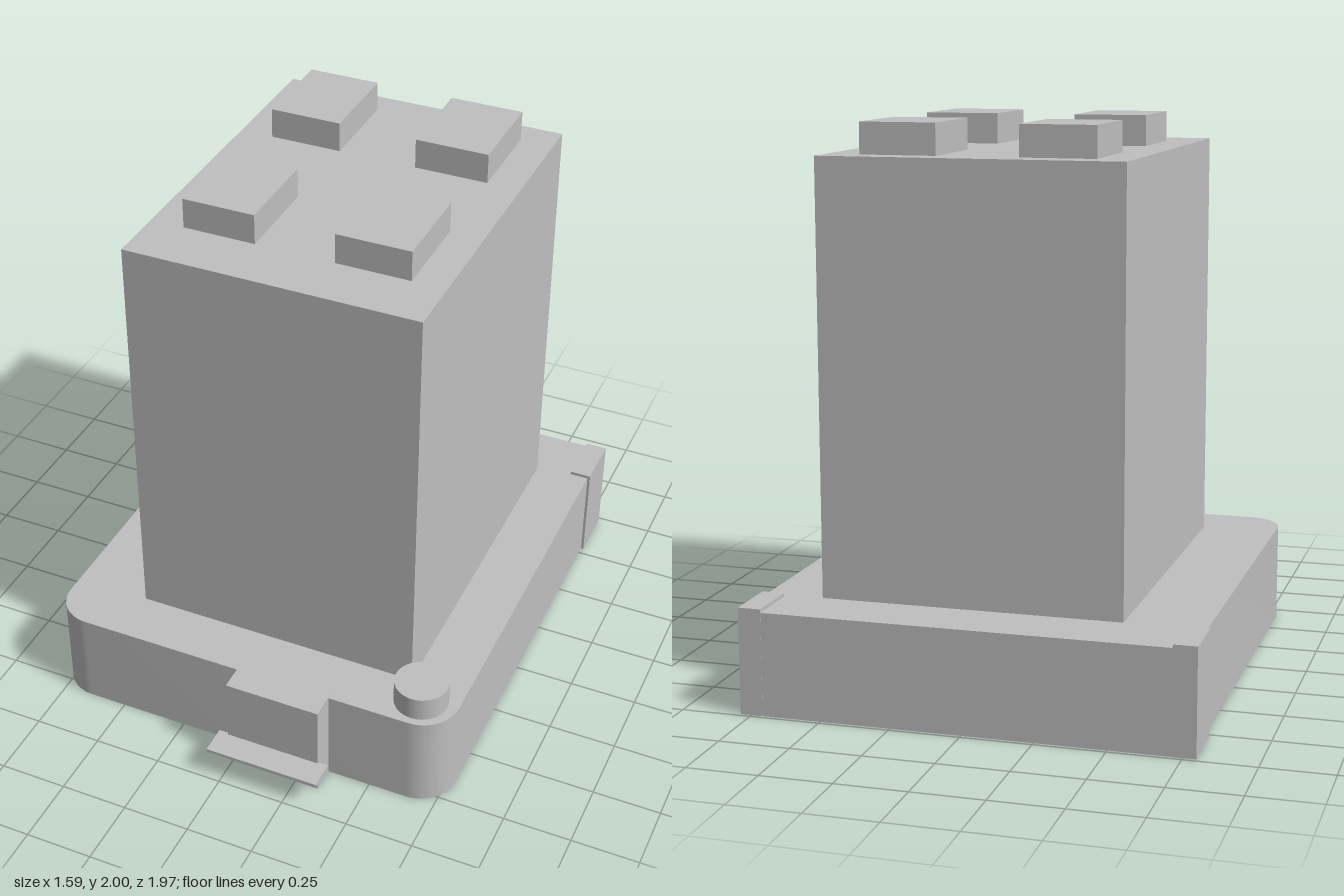
import * as THREE from 'three';
import { toCreasedNormals } from 'three/addons/utils/BufferGeometryUtils.js';

export function createModel() {
  const model = new THREE.Group();
  const grey = new THREE.MeshStandardMaterial({ color: 0xbfbfbf });
  grey.name = 'light grey';

  const add = (name, geometry) => {
    const mesh = new THREE.Mesh(geometry, grey);
    mesh.name = name;
    model.add(mesh);
    return mesh;
  };

  // Box given by its limits on each axis
  const box = (name, [x0, x1], [y0, y1], [z0, z1]) =>
    add(name, new THREE.BoxGeometry(x1 - x0, y1 - y0, z1 - z0))
      .position.set((x0 + x1) / 2, (y0 + y1) / 2, (z0 + z1) / 2);

  // Base slab: square back corners, rounded front corners (outline y is -z)
  const w = 0.78, back = 0.985, front = -0.793, r = 0.14;
  const outline = new THREE.Shape();
  outline.moveTo(w, back);
  outline.lineTo(-w, back);
  outline.lineTo(-w, front + r);
  outline.absarc(-w + r, front + r, r, Math.PI, Math.PI * 1.5, false);
  outline.lineTo(w - r, front);
  outline.absarc(w - r, front + r, r, Math.PI * 1.5, Math.PI * 2, false);
  outline.closePath();
  const slab = new THREE.ExtrudeGeometry(outline, { depth: 0.365, bevelEnabled: false, curveSegments: 12 });
  slab.rotateX(-Math.PI / 2);
  add('base', toCreasedNormals(slab, 0.5));

  // Tower block
  box('tower', [-0.498, 0.573], [0.36, 1.89], [-0.76, 0.587]);

  // Four studs on the roof
  for (const x of [[-0.375, -0.11], [0.18, 0.45]])
    for (const z of [[-0.66, -0.316], [0.038, 0.378]])
      box('roofStud', x, [1.885, 2], z);

  // Back corner posts
  box('rightCornerPost', [-0.796, -0.714], [0, 0.377], [-0.986, -0.78]);
  box('leftCornerPost', [0.709, 0.79], [0, 0.377], [-0.986, -0.78]);

  // Front door block with a thin canopy
  box('doorBlock', [-0.016, 0.34], [0, 0.37], [0.78, 0.887]);
  box('doorCanopy', [-0.053, 0.377], [0.116, 0.128], [0.88, 0.985]);

  // Round post on the front left corner
  add('roundPost', new THREE.CylinderGeometry(0.098, 0.098, 0.1, 32)).position.set(0.643, 0.406, 0.668);

  return model;
}
